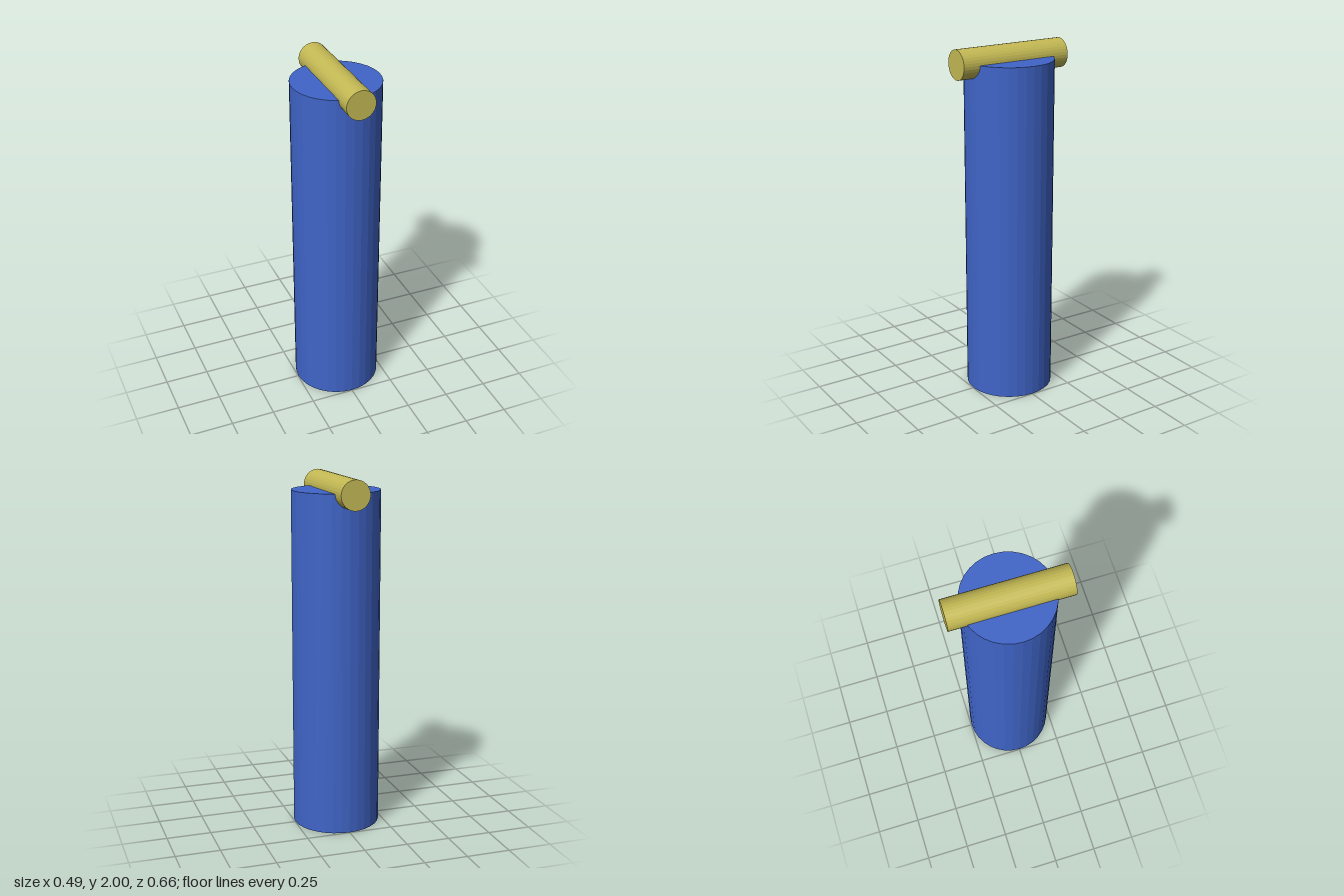
import * as THREE from 'three';

const SIDES = 32;

// Faceted solid cylinder
function cylinder(name, radius, length, color) {
  const mesh = new THREE.Mesh(
    new THREE.CylinderGeometry(radius, radius, length, SIDES),
    new THREE.MeshStandardMaterial({ color, flatShading: true })
  );
  mesh.name = name;
  return mesh;
}

export function createModel() {
  const group = new THREE.Group();
  group.name = 'postWithCrossbar';

  const height = 1.918;

  // Upright post standing on the ground
  const post = cylinder('post', 0.247, height, 0x4065c8);
  post.position.y = height / 2;

  // Crossbar running front to back, half sunk into the post's top
  const crossbar = cylinder('crossbar', 0.082, 0.66, 0xc4b954);
  crossbar.rotation.x = Math.PI / 2;
  crossbar.position.y = height;

  group.add(post, crossbar);
  return group;
}
